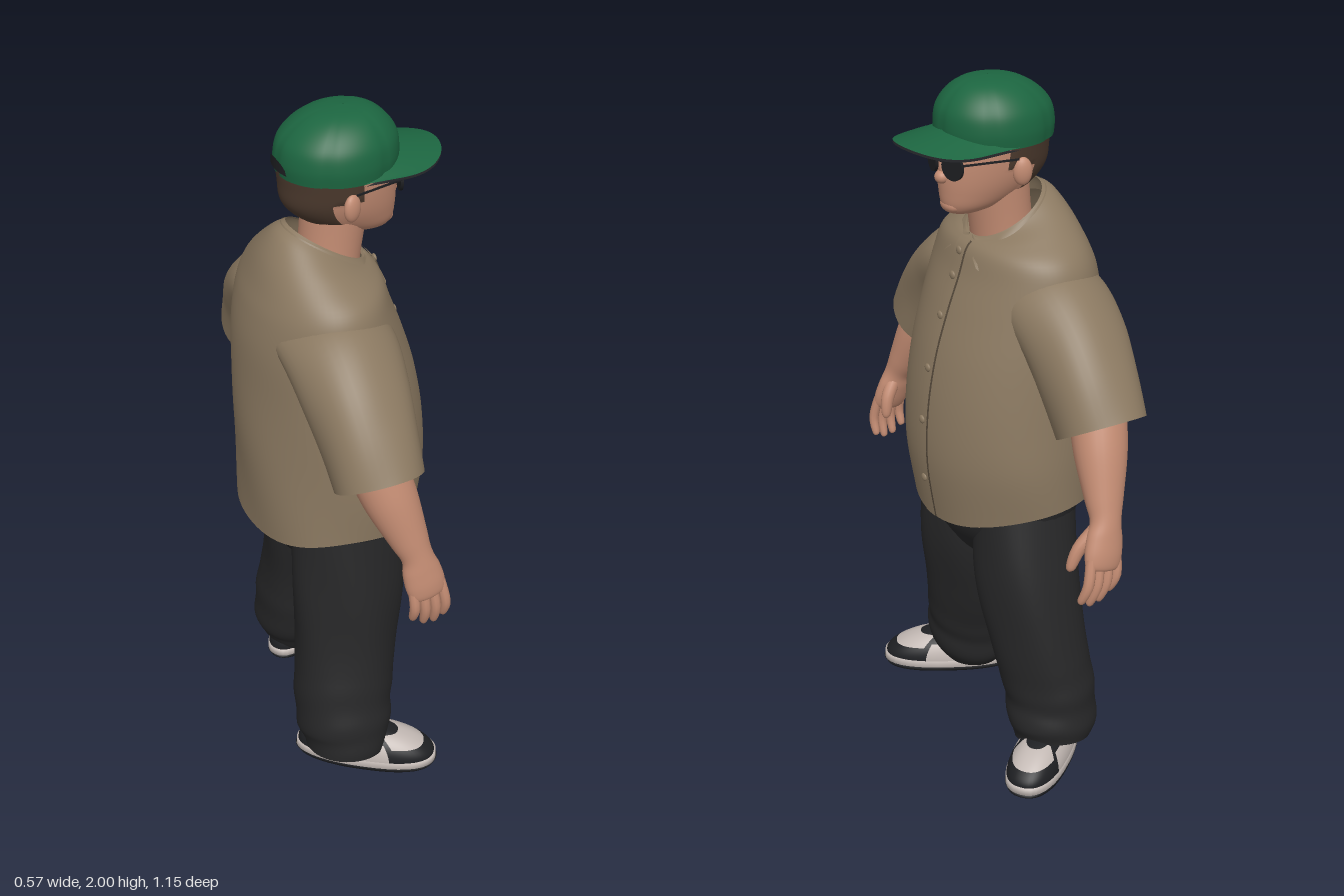
import * as THREE from 'three';

const mat = (name, color, side = THREE.FrontSide) => {
  const m = new THREE.MeshStandardMaterial({ color, side });
  m.name = name;
  return m;
};
const YAW = 1.345; // the figure looks mostly along +x
const FORWARD = new THREE.Vector3(Math.sin(YAW), 0, Math.cos(YAW));
const { sin, cos, PI, abs, max, min, sign } = Math;

// Catmull-Rom interpolation through rows of numbers, t from 0 to 1
function along(rows, t) {
  const n = rows.length - 1, s = min(t * n, n - 1e-6), i = Math.floor(s), f = s - i;
  const p = k => rows[max(0, min(n, k))];
  return rows[i].map((_, c) => {
    const a = p(i - 1)[c], b = p(i)[c], d = p(i + 1)[c], e = p(i + 2)[c];
    return b + 0.5 * f * (d - a + f * (2 * a - 5 * b + 4 * d - e + f * (3 * (b - d) + e - a)));
  });
}

// Smooth grid surface; f(u, v) gives a point, pick(u, v) a material index
function surface(name, material, nu, nv, f, closed = true, pick = () => 0) {
  const pos = [], lists = [[], []], w = closed ? nu : nu + 1;
  for (let j = 0; j <= nv; j++) for (let i = 0; i < w; i++) pos.push(...f(i / nu, j / nv));
  for (let j = 0; j < nv; j++) for (let i = 0; i < nu; i++) {
    const k = (i + 1) % w, a = j * w + i, b = j * w + k, c = b + w, d = a + w;
    lists[pick((i + 0.5) / nu, (j + 0.5) / nv)].push(a, b, c, a, c, d);
  }
  const g = new THREE.BufferGeometry();
  g.setAttribute('position', new THREE.Float32BufferAttribute(pos, 3));
  g.setIndex(lists.flat());
  if (Array.isArray(material)) {
    g.addGroup(0, lists[0].length, 0);
    g.addGroup(lists[0].length, lists[1].length, 1);
  }
  g.computeVertexNormals();
  const m = new THREE.Mesh(g, material);
  m.name = name;
  return m;
}

// Upright loft: rows are [y, centreZ, halfWidth, halfDepth], angle 0 at the front
function upright(rows, bump = () => 0) {
  return (u, v) => {
    const a = u * 2 * PI, [y, cz, A, B, tilt = 0, hem = 0] = along(rows, v), k = 1 + bump(a, y);
    return [A * k * sin(a), y - tilt * cos(a) - hem * cos(2 * a), cz + B * k * cos(a)];
  };
}

// Limb along a path: rows are [x, y, z, radiusForward, radiusSide]
function limb(name, material, rows, nu = 24, nv = 24, bump = () => 0) {
  return surface(name, material, nu, nv, (u, v) => {
    const r = along(rows, v), p = along(rows, max(0, v - 0.02)), q = along(rows, min(1, v + 0.02));
    const d = new THREE.Vector3(q[0] - p[0], q[1] - p[1], q[2] - p[2]).normalize();
    const e1 = FORWARD.clone().addScaledVector(d, -FORWARD.dot(d)).normalize();
    const e2 = d.clone().cross(e1), a = u * 2 * PI, k = 1 + bump(a, r[1]);
    return new THREE.Vector3(r[0], r[1], r[2])
      .addScaledVector(e1, r[3] * k * cos(a)).addScaledVector(e2, r[4] * k * sin(a)).toArray();
  });
}

function blob(name, material, p, s) {
  const m = new THREE.Mesh(new THREE.SphereGeometry(1, 20, 14), material);
  m.position.set(...p); m.scale.set(...s); m.name = name;
  return m;
}

export function createModel() {
  const green = mat('cap green', 0x1c6540, THREE.DoubleSide);
  const tan = mat('shirt tan', 0x8b7961, THREE.DoubleSide);
  const seam = mat('seam brown', 0x54483a, THREE.DoubleSide);
  const skin = mat('skin', 0xc28b72);
  const lip = mat('lips', 0xb98270);
  const hair = mat('hair brown', 0x4b392d);
  const cloth = mat('trouser charcoal', 0x262627, THREE.DoubleSide);
  const black = mat('black', 0x1e1f22, THREE.DoubleSide);
  const pale = mat('shoe pale grey', 0xc2b8b3);

  const model = new THREE.Group();
  model.name = 'standingMan';
  const body = new THREE.Group(), head = new THREE.Group();
  body.name = 'torso'; head.name = 'head';
  body.rotation.y = head.rotation.y = YAW;
  model.add(body, head);

  // Shirt with soft folds towards a curved hem
  const shirt = upright([
    [0.80, -0.03, 0.295, 0.242, 0.01, 0.032], [0.95, -0.02, 0.30, 0.257, 0, 0.01], [1.1, -0.025, 0.295, 0.257, 0, 0],
    [1.25, -0.037, 0.288, 0.243, 0, 0], [1.38, -0.055, 0.282, 0.22, 0, 0], [1.475, -0.065, 0.275, 0.193, 0, 0],
    [1.54, -0.065, 0.248, 0.172, 0, 0], [1.59, -0.06, 0.182, 0.148, 0.025, 0], [1.622, -0.05, 0.122, 0.12, 0.05, 0],
    [1.632, -0.032, 0.095, 0.10, 0.06, 0],
  ], (a, y) => 0.016 * sin(5 * a + 9 * y) * max(0, 1.4 - y) * 2 * abs(sin(a / 2)));
  body.add(surface('shirtBody', tan, 72, 54, shirt));

  // Button placket, its seam and the buttons
  const strip = (name, m, x0, x1, out) => body.add(surface(name, m, 4, 40, (u, v) => {
    const p = shirt(0, 0.005 + v * 0.78), x = x0 + (x1 - x0) * u;
    return [x, p[1], p[2] + out - 2.2 * x * x];
  }, false));
  strip('placketSeam', seam, 0.020, 0.027, 0.005);
  strip('placket', tan, -0.026, 0.021, 0.005);
  for (const v of [0.08, 0.2, 0.31, 0.43, 0.55, 0.66]) {
    const p = shirt(0, v);
    body.add(blob('button', tan, [0, p[1], p[2] + 0.006], [0.012, 0.012, 0.006]));
  }

  // Folded collar, high at the nape, with two front points
  body.add(surface('collar', tan, 64, 8, (u, v) => {
    const a = 0.08 + u * (2 * PI - 0.16), b = min(a, 2 * PI - a);
    const top = 1.572 + 0.059 * (1 - cos(a));
    const point = Math.exp(-(((b - 0.6) / 0.25) ** 2));
    const fall = min(1, max(0, (b - 0.06) / 0.45)) * 0.046 + 0.036 * point;
    const t = 1 - v, off = 0.004 + t * min(1, fall / 0.06) * (0.028 + 0.03 * max(0, cos(a)));
    return [(0.098 + off + 0.025 * t * point) * sin(a), top - fall * t + 0.006 * sin(PI * t), -0.034 + (0.105 + off) * cos(a)];
  }, false));

  // Seat of the trousers
  body.add(surface('trouserSeat', cloth, 40, 16, upright([
    [0.57, -0.01, 0.001, 0.001], [0.59, -0.01, 0.05, 0.08], [0.65, -0.015, 0.15, 0.14],
    [0.74, -0.02, 0.25, 0.19], [0.88, -0.025, 0.275, 0.208]])));

  // Trouser legs, bunched at the ankles
  const creases = (a, y) => 0.04 * sin(55 * y + 2 * sin(a)) * max(0, 1 - y / 0.34)
    + 0.024 * sin(5 * a + 6 * y) * max(0, min(1, y * 2, (0.9 - y) * 4));
  model.add(limb('rightTrouserLeg', cloth, [
    [-0.145, 0.06, 0.24, 0.115, 0.125], [-0.135, 0.12, 0.228, 0.135, 0.14], [-0.125, 0.22, 0.208, 0.145, 0.138],
    [-0.09, 0.4, 0.17, 0.15, 0.143], [-0.065, 0.6, 0.145, 0.163, 0.145], [-0.06, 0.84, 0.13, 0.155, 0.12]], 48, 50, creases));
  model.add(limb('leftTrouserLeg', cloth, [
    [0.055, 0.07, -0.285, 0.11, 0.113], [0.045, 0.12, -0.272, 0.128, 0.13], [0.033, 0.22, -0.246, 0.128, 0.145],
    [0.043, 0.4, -0.205, 0.135, 0.145], [0.038, 0.6, -0.16, 0.15, 0.145], [0.012, 0.84, -0.13, 0.15, 0.12]], 48, 50, creases));

  // Two-tone shoes with a rounded, full outline
  function shoe(name, x, z, turn, len) {
    const g = new THREE.Group();
    g.name = name;
    const full = c => sign(c) * abs(c) ** 0.85;
    const print = (a, k) => [0.084 * k * full(sin(a)) * (0.96 + 0.1 * cos(a)), len * k * full(cos(a))];
    const ring = rows => (u, v) => {
      const [y, k] = rows[Math.round(v * (rows.length - 1))], [px, pz] = print(u * 2 * PI, k);
      return [px, y, pz];
    };
    g.add(surface('outsole', black, 40, 3, ring([[0, 0.001], [0, 0.96], [0.014, 1], [0.014, 0.9]])));
    g.add(surface('midsole', pale, 40, 3, ring([[0.012, 0.9], [0.012, 0.99], [0.036, 0.985], [0.038, 0.85]])));
    g.add(surface('upper', [black, pale], 56, 20, (u, v) => {
      const a = u * 2 * PI, t = v * PI / 2, [px, pz] = print(a, 0.96 * cos(t) ** 0.8 + 0.001);
      return [px, 0.034 + sin(t) * (0.082 - 0.14 * pz * cos(t)), pz];
    }, true, (u, v) => {
      const c = cos(u * 2 * PI);
      return (c > 0.45 && v > 0.4 && v < 0.74) || (c > -0.75 && c < 0.3 && v < 0.5) ? 1 : 0;
    }));
    g.position.set(x, 0, z);
    g.rotation.y = turn;
    model.add(g);
  }
  shoe('rightShoe', -0.084, 0.27, PI / 2 - 0.8, 0.215);
  shoe('leftShoe', 0.105, -0.293, PI / 2 + 0.34, 0.185);

  // Sleeve, arm and hand; inward is the z direction towards the body
  function arm(side, inward, sleeve, W, K, T) {
    const add = (name, m, rows, ...n) => model.add(limb(side + name, m, rows, ...n));
    add('Sleeve', tan, sleeve, 40, 24, (a, y) => 0.02 * sin(4 * a + 14 * y));
    const e = sleeve.at(-1), mix = (A, B, t) => A.map((c, i) => c + (B[i] - c) * t);
    const elbow = [e[0] - 0.005, 1.2, e[2] + inward * 0.02];
    add('Forearm', skin, [[...elbow, 0.078, 0.075], [...mix(elbow, W, 0.4), 0.073, 0.068],
      [...mix(elbow, W, 0.8), 0.054, 0.048], [...W, 0.044, 0.036], [...mix(W, K, 0.4), 0.053, 0.034],
      [...mix(W, K, 0.85), 0.056, 0.03], [...mix(W, K, 1.15), 0.045, 0.02], [...mix(W, K, 1.2), 0.001, 0.001]], 28, 44);
    for (let i = 0; i < 4; i++) {
      const off = (i - 1.5) * 0.027, len = [0.8, 0.97, 1, 0.88][i];
      const at = (t, bend, spread) => mix(K, T, t * len)
        .map((c, k) => c + FORWARD.getComponent(k) * off * spread + (k === 2 ? inward * bend : 0));
      add('Finger', skin, [[...at(-0.2, 0, 1), 0.014, 0.014], [...at(0.45, -0.006, 1.1), 0.0145, 0.0145],
        [...at(0.92, 0.012, 1.1), 0.011, 0.011], [...at(1, 0.016, 1.1), 0.001, 0.001]], 10, 12);
    }
    const thumb = (t, f, s) => mix(W, K, t).map((c, k) => c + FORWARD.getComponent(k) * f + (k === 2 ? inward * s : 0));
    add('Thumb', skin, [[...thumb(0.15, 0.015, 0.008), 0.022, 0.02], [...thumb(0.65, 0.045, 0.035), 0.02, 0.018],
      [...thumb(1.15, 0.05, 0.055), 0.014, 0.013], [...thumb(1.28, 0.05, 0.058), 0.001, 0.001]], 12, 14);
  }
  arm('right', -1, [[-0.105, 1.44, 0.08, 0.15, 0.08], [-0.118, 1.41, 0.18, 0.152, 0.114],
    [-0.138, 1.34, 0.27, 0.142, 0.122], [-0.152, 1.245, 0.345, 0.13, 0.125], [-0.16, 1.145, 0.404, 0.122, 0.126]],
  [-0.11, 0.94, 0.505], [-0.095, 0.835, 0.535], [-0.085, 0.715, 0.548]);
  arm('left', 1, [[-0.045, 1.44, -0.10, 0.14, 0.08], [-0.02, 1.41, -0.20, 0.15, 0.114],
    [0.004, 1.34, -0.29, 0.142, 0.122], [0.032, 1.245, -0.367, 0.13, 0.125], [0.05, 1.145, -0.427, 0.122, 0.126]],
  [0.135, 0.94, -0.52], [0.17, 0.835, -0.543], [0.195, 0.715, -0.55]);

  // Neck and head; the hair is a raised band round the back
  head.add(surface('neck', skin, 32, 8, upright([[1.54, -0.03, 0.09, 0.09], [1.62, -0.015, 0.086, 0.085], [1.74, 0, 0.088, 0.09]])));
  const skull = upright([[1.643, 0.095, 0.001, 0.001], [1.65, 0.093, 0.036, 0.05], [1.672, 0.065, 0.068, 0.094],
    [1.71, 0.032, 0.092, 0.132], [1.755, 0.012, 0.108, 0.153], [1.81, 0.006, 0.116, 0.155], [1.87, 0, 0.118, 0.15], [1.92, 0, 0.10, 0.12]]);
  const isHair = (u, v) => {
    const c = cos(u * 2 * PI), y = skull(u, v)[1];
    return (c < 0.12 && y > 1.775) || (c < -0.35 && y > 1.695) ? 1 : 0;
  };
  head.add(surface('headAndHair', [skin, hair], 80, 48, (u, v) => {
    const p = skull(u, v), k = isHair(u, v) ? 1.03 : 1;
    return [p[0] * k, p[1], p[2] * k];
  }, true, isHair));
  head.add(blob('nose', skin, [0, 1.752, 0.164], [0.02, 0.018, 0.02]));
  head.add(blob('noseBridge', skin, [0, 1.778, 0.156], [0.012, 0.03, 0.016]));
  head.add(blob('mouth', lip, [0, 1.707, 0.153], [0.026, 0.009, 0.01]));
  head.add(blob('chin', skin, [0, 1.672, 0.136], [0.038, 0.022, 0.026]));

  // Ears and round sunglasses
  for (const s of [-1, 1]) {
    const ear = blob('ear', skin, [s * 0.12, 1.768, -0.005], [0.016, 0.038, 0.026]);
    ear.rotation.y = s * -0.35;
    const lens = new THREE.Mesh(new THREE.CylinderGeometry(0.036, 0.036, 0.008, 28), black);
    lens.name = 'lens';
    lens.rotation.set(PI / 2, 0, s * -0.25);
    lens.position.set(s * 0.047, 1.79, 0.161);
    const temple = new THREE.Mesh(new THREE.BoxGeometry(0.004, 0.005, 0.15), black);
    temple.name = 'temple';
    temple.position.set(s * 0.105, 1.803, 0.08);
    temple.rotation.y = s * -0.24;
    head.add(ear, lens, temple);
  }
  const bridge = new THREE.Mesh(new THREE.BoxGeometry(0.03, 0.006, 0.006), black);
  bridge.name = 'glassesBridge';
  bridge.position.set(0, 1.8, 0.173);
  head.add(bridge);

  // Six-panel cap with a rounded, arched brim, dark beneath
  const crown = upright([[1.84, 0.002, 0.145, 0.16], [1.88, 0.003, 0.147, 0.163], [1.925, 0.006, 0.137, 0.153],
    [1.965, 0.012, 0.106, 0.118], [1.99, 0.018, 0.062, 0.07], [1.998, 0.022, 0.001, 0.001]],
  a => -0.025 * (1 - abs(sin(3 * a))) ** 4);
  head.add(surface('capCrown', green, 72, 28, crown));
  const brim = (name, m, drop) => head.add(surface(name, m, 40, 10, (u, v) => {
    const a = (u - 0.5) * 2.9, t = 1 - v, c = cos(a), inner = 0.15 * c, outer = 0.085 + 0.2 * c ** 0.75;
    return [0.146 * sin(a), 1.878 - 0.036 * sin(a) ** 2 - 0.02 * t * c - drop, inner + t * (outer - inner)];
  }, false));
  brim('capBrim', green, 0);
  brim('capBrimUnderside', black, 0.007);
  // Opening above the strap at the back of the cap
  head.add(surface('capBackOpening', black, 20, 6, (u, v) => {
    const a = PI + (u - 0.5) * 0.7, h = Math.sqrt(max(0, 1 - (2 * u - 1) ** 2));
    return [0.153 * sin(a), 1.856 + 0.032 * h * v, 0.165 * cos(a)];
  }, false));
  return model;
}
